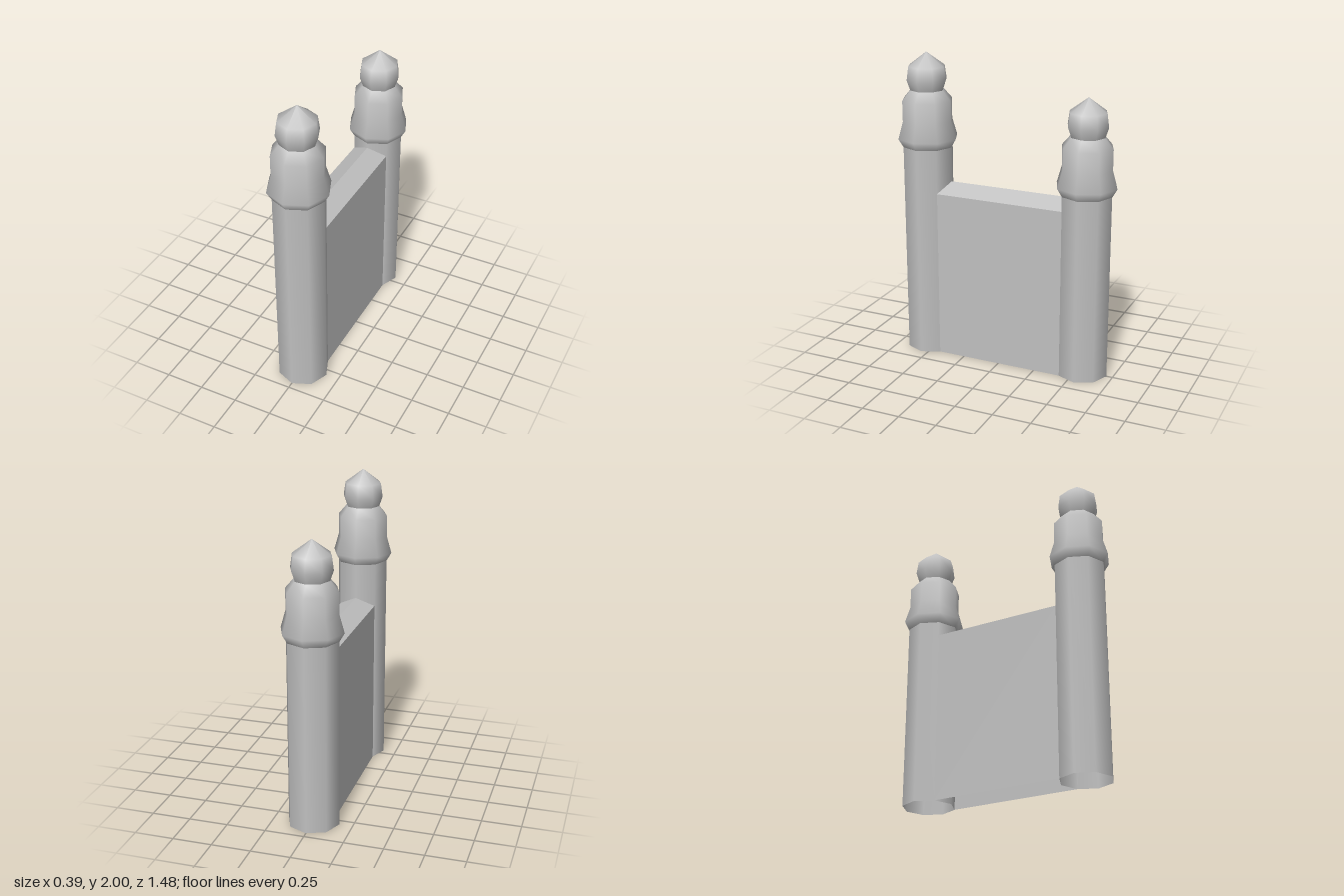
import * as THREE from 'three';

const stone = new THREE.MeshStandardMaterial({ color: 0xc0c0c0, side: THREE.DoubleSide });
stone.name = 'grey stone';

// Eight-sided turned piece from [radius, y] pairs, bottom to top
function turned(name, profile) {
  const points = profile.map(([r, y]) => new THREE.Vector2(r, y));
  const mesh = new THREE.Mesh(new THREE.LatheGeometry(points, 8), stone);
  mesh.name = name;
  return mesh;
}

// Hollow post with flared collar and ball finial; h is its full height
function post(name, h, z) {
  const g = new THREE.Group();
  g.name = name;
  g.add(
    turned('shaft', [[0.165, 0], [0.165, h - 0.6]]),
    turned('collar', [[0.165, h - 0.605], [0.197, h - 0.55], [0.165, h - 0.44], [0.165, h - 0.305], [0.11, h - 0.24]]),
    turned('finial', [[0.11, h - 0.24], [0.132, h - 0.175], [0.12, h - 0.09], [0, h]])
  );
  g.position.z = z;
  return g;
}

// Wall between the posts with a ridged coping, open underneath
function wall() {
  const section = [[0.116, 0], [0.116, 1.11], [0, 1.17], [-0.116, 1.11], [-0.116, 0]];
  const half = 0.428;
  const pos = [];
  for (let i = 0; i < section.length - 1; i++) {
    const [x0, y0] = section[i];
    const [x1, y1] = section[i + 1];
    const a = [x0, y0, half], b = [x0, y0, -half], c = [x1, y1, -half], d = [x1, y1, half];
    pos.push(...a, ...b, ...c, ...a, ...c, ...d);
  }
  const geo = new THREE.BufferGeometry();
  geo.setAttribute('position', new THREE.Float32BufferAttribute(pos, 3));
  geo.computeVertexNormals();
  const mesh = new THREE.Mesh(geo, stone);
  mesh.name = 'wall';
  return mesh;
}

export function createModel() {
  const model = new THREE.Group();
  model.name = 'wall with posts';
  model.add(post('tallPost', 2, 0.544), post('shortPost', 1.81, -0.544), wall());
  return model;
}
